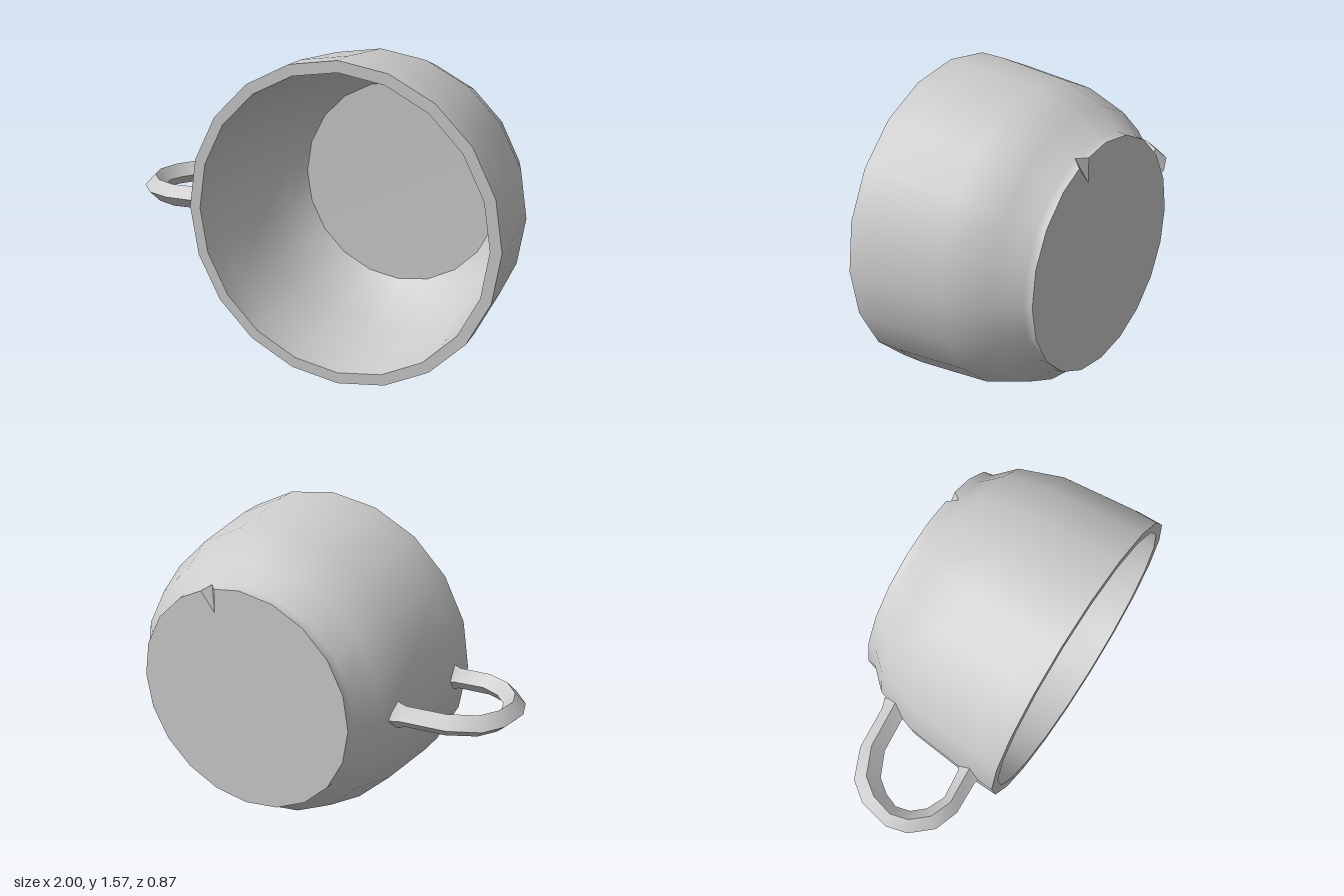
import * as THREE from 'three';
import { mergeGeometries, toCreasedNormals } from 'three/addons/utils/BufferGeometryUtils.js';

const SIDES = 20;
const material = () => new THREE.MeshStandardMaterial({ color: 0xcccccc });

// Triangle collector; skips collapsed triangles
function triangles() {
  const data = [];
  const tri = (a, b, c) => {
    if (a.equals(b) || b.equals(c) || a.equals(c)) return;
    for (const p of [a, b, c]) data.push(p.x, p.y, p.z);
  };
  const build = () => new THREE.BufferGeometry()
    .setAttribute('position', new THREE.Float32BufferAttribute(data, 3));
  return { tri, build };
}

// Outer wall, flat rim, inner wall and floor, turned about the z axis
function wallGeometry() {
  const profile = [
    [0.58, -0.39], [0.675, -0.285], [0.75, -0.065], [0.783, 0.31], [0.785, 0.435],
    [0.73, 0.435], [0.725, 0.31], [0.697, -0.06], [0.625, -0.25], [0.53, -0.345], [0, -0.355],
  ].map(([r, z]) => new THREE.Vector2(r, z));
  const lathe = new THREE.LatheGeometry(profile, SIDES).rotateX(Math.PI / 2).toNonIndexed();
  lathe.deleteAttribute('uv');
  lathe.deleteAttribute('normal');
  return lathe;
}

// Short foot and flat base with a small V notch at one corner
function footGeometry() {
  const { tri, build } = triangles();
  const ring = (k, r, z) => {
    const a = (k / SIDES) * Math.PI * 2;
    return new THREE.Vector3(Math.sin(a) * r, Math.cos(a) * r, z);
  };
  const back = (k) => ring(k, 0.575, -0.435);
  const pairs = [];
  for (let k = 0; k < SIDES; k++) {
    const front = ring(k, 0.58, -0.39);
    if (k === 1) {
      const tip = back(k).multiply(new THREE.Vector3(0.79, 0.79, 1));
      for (const p of [back(k).lerp(back(0), 0.22), tip, back(k).lerp(back(2), 0.22)]) pairs.push([front, p]);
    } else pairs.push([front, back(k)]);
  }
  const centre = new THREE.Vector3(0, 0, -0.435);
  pairs.forEach(([a, b], i) => {
    const [a2, b2] = pairs[(i + 1) % pairs.length];
    tri(a, a2, b2);
    tri(a, b2, b);
    tri(centre, b, b2);
  });
  return build();
}

// Loop handle with a diamond section: each row is outer x,z and inner x,z
function handleGeometry() {
  const rows = [
    [-0.48, -0.255, -0.48, -0.105], [-0.53, -0.235, -0.53, -0.12], [-0.75, -0.21, -0.70, -0.10],
    [-0.9, -0.14, -0.82, -0.04], [-0.97, -0.04, -0.87, 0.03], [-1, 0.115, -0.895, 0.1],
    [-0.97, 0.22, -0.875, 0.17], [-0.88, 0.32, -0.82, 0.23], [-0.76, 0.36, -0.73, 0.268],
    [-0.59, 0.35, -0.59, 0.25], [-0.545, 0.37, -0.545, 0.23],
  ];
  const { tri, build } = triangles();
  const sections = rows.map(([ox, oz, ix, iz], i) => {
    const h = i === 0 || i === rows.length - 1 ? 0.075 : 0.056; // flared ends
    const mx = (ox + ix) / 2, mz = (oz + iz) / 2;
    return [[ox, 0, oz], [mx, h, mz], [ix, 0, iz], [mx, -h, mz]]
      .map(([x, y, z]) => new THREE.Vector3(x - 0.21, y, z));
  });
  for (let i = 0; i < sections.length - 1; i++) {
    const s = sections[i], t = sections[i + 1];
    for (let j = 0; j < 4; j++) {
      const n = (j + 1) % 4;
      tri(s[j], t[j], t[n]);
      tri(s[j], t[n], s[n]);
    }
  }
  return build();
}

export function createModel() {
  const cup = new THREE.Group();
  cup.name = 'cup';
  cup.position.set(0.213, 0.785, 0);

  const bowl = new THREE.Mesh(
    toCreasedNormals(mergeGeometries([wallGeometry(), footGeometry()]), 0.75), material());
  bowl.name = 'bowl';

  const handle = new THREE.Mesh(toCreasedNormals(handleGeometry(), 0.6), material());
  handle.name = 'handle';

  cup.add(bowl, handle);
  const model = new THREE.Group();
  model.name = 'cupOnItsSide';
  model.add(cup);
  return model;
}
